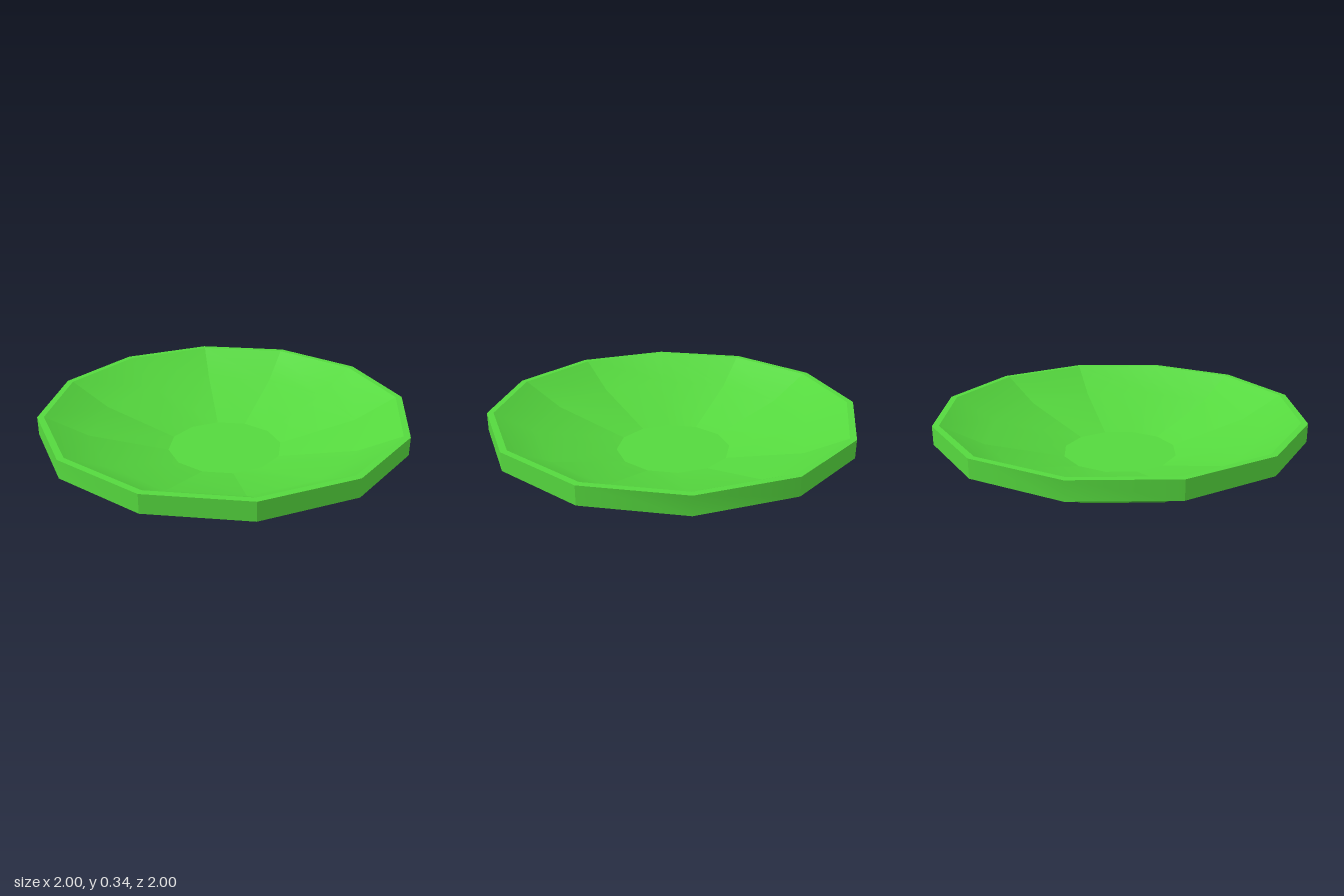
import * as THREE from 'three';
import { mergeGeometries } from 'three/addons/utils/BufferGeometryUtils.js';

const STEP = Math.PI / 6; // twelve-sided dish

// Lathe a profile over a few sides, with normals taken from its own faces
function wedge(profile, sides, start) {
  const points = profile.map(([r, y]) => new THREE.Vector2(r, y));
  const geometry = new THREE.LatheGeometry(points, sides, start, sides * STEP);
  geometry.computeVertexNormals();
  return geometry;
}

// Each quarter: a soft pair of sides across the axis, then one flat side
function faceted(profile) {
  const parts = [];
  for (let q = 0; q < 4; q++) {
    const axis = q * Math.PI / 2;
    parts.push(wedge(profile, 2, axis - STEP), wedge(profile, 1, axis + STEP));
  }
  return mergeGeometries(parts);
}

export function createModel() {
  const group = new THREE.Group();
  group.name = 'dish';
  const material = new THREE.MeshStandardMaterial({ color: 0x55d83e });
  const add = (name, geometry) => {
    const mesh = new THREE.Mesh(geometry, material);
    mesh.name = name;
    group.add(mesh);
  };

  const curve = [[0.315, 0], [0.74, 0.115], [0.965, 0.24]];
  const inside = curve.map(([r, y]) => [r, y + 0.1]).reverse();

  // Outside and inside of the bowl
  add('outerBowl', faceted(curve));
  add('innerBowl', faceted(inside));
  add('base', wedge([[0, 0], [0.315, 0]], 12, 0));
  add('floor', wedge([[0.315, 0.1], [0, 0.1]], 12, 0));

  // Upright rim band with its flat ledges
  add('rimBand', faceted([[1, 0.24], [1, 0.34]]));
  add('rimTop', wedge([[1, 0.34], [0.965, 0.34]], 12, 0));
  add('rimUnderside', wedge([[0.965, 0.24], [1, 0.24]], 12, 0));

  return group;
}
